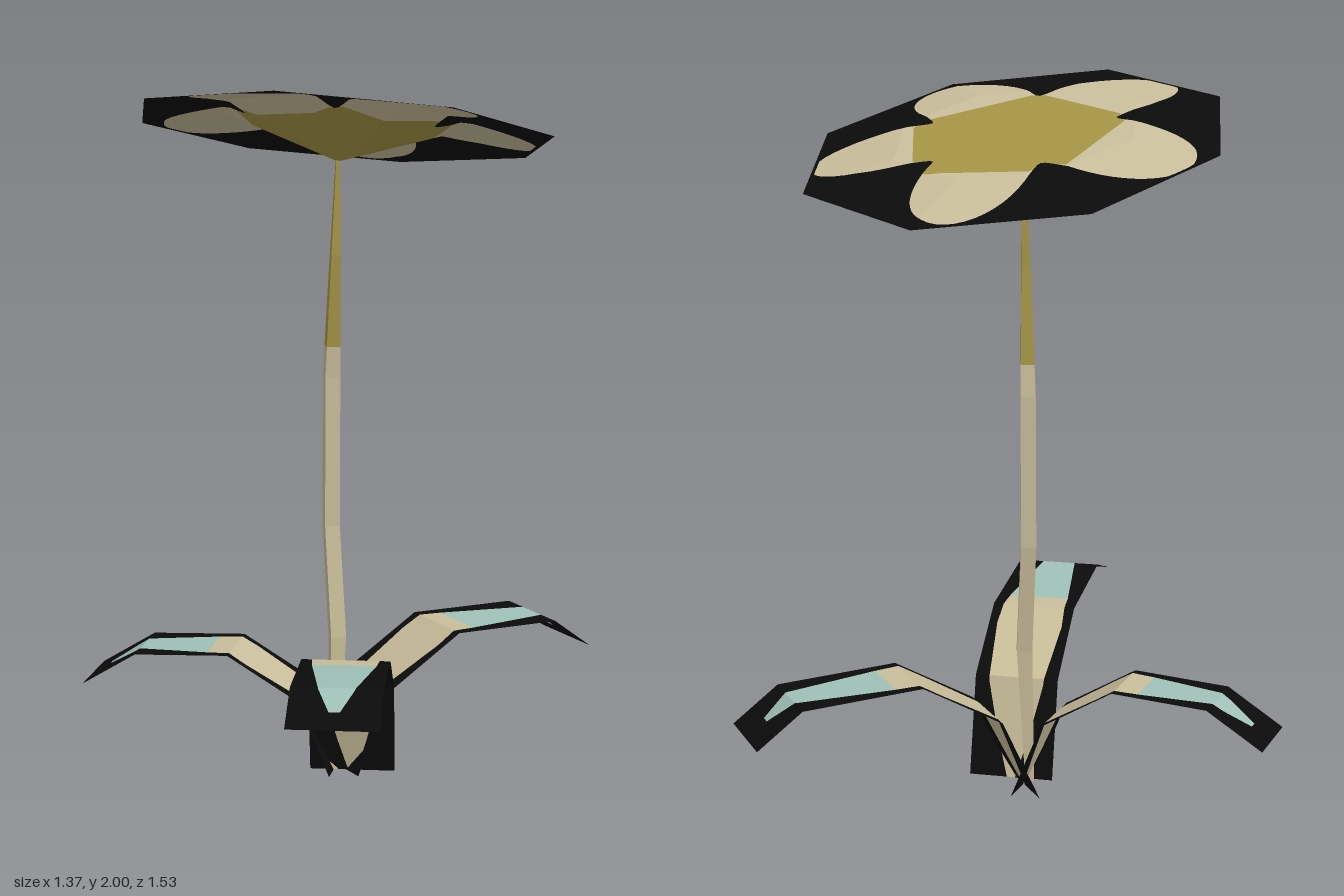
import * as THREE from 'three';

const V = (x, y, z) => new THREE.Vector3(x, y, z);
const rad = THREE.MathUtils.degToRad;

// Collects flat faces by colour and turns them into one named mesh per colour
class Builder {
  constructor(name, materials) {
    this.group = new THREE.Group();
    this.group.name = name;
    this.materials = materials;
    this.faces = {};
  }
  tri(color, a, b, c) {
    const n = b.clone().sub(a).cross(c.clone().sub(a));
    if (n.lengthSq() < 1e-14) return;
    (this.faces[color] ??= []).push(...a, ...b, ...c);
  }
  quad(color, a, b, c, d) {
    this.tri(color, a, b, c);
    this.tri(color, a, c, d);
  }
  finish() {
    for (const [color, points] of Object.entries(this.faces)) {
      const g = new THREE.BufferGeometry();
      g.setAttribute('position', new THREE.Float32BufferAttribute(points, 3));
      g.computeVertexNormals();
      const mesh = new THREE.Mesh(g, this.materials[color]);
      mesh.name = `${this.group.name}_${color}`;
      this.group.add(mesh);
    }
    return this.group;
  }
}

// Distance from the centre to a polygon given as [degrees, radius] corners
function polygonRadius(corners, deg) {
  for (let i = 0; i < corners.length; i++) {
    const [a0, r0] = corners[i];
    let [a1, r1] = corners[(i + 1) % corners.length];
    if (a1 <= a0) a1 += 360;
    const d = (((deg - a0) % 360) + 360) % 360;
    if (d > a1 - a0) continue;
    const whole = rad(a1 - a0), t = rad(d);
    return (r0 * r1 * Math.sin(whole)) / (r0 * Math.sin(t) + r1 * Math.sin(whole - t));
  }
  return 0;
}

// Flower head: slightly raised tilted octagon above a funnel
function makeFlower(materials) {
  const b = new Builder('flower', materials);
  const cx = 0.06, cz = -0.09;
  const apex = V(0.055, 1.76, -0.06);
  const octagon = Array.from({ length: 8 }, (_, i) => [i * 45, 0.593]);
  const heart = [[-134.4, 0.35], [-67, 0.358], [2.6, 0.325], [76, 0.289], [151, 0.309]];
  const notches = [-130.4, -61.6, 5, 76.7, 150.5, 229.6];

  const petalRadius = (deg) => {
    if (deg < notches[0]) deg += 360;
    if (deg > notches[5]) deg -= 360;
    let k = 0;
    while (k < 4 && deg > notches[k + 1]) k++;
    const u = (2 * (deg - notches[k])) / (notches[k + 1] - notches[k]) - 1;
    return 0.27 + 0.285 * Math.pow(Math.max(0, 1 - u * u), 1.7);
  };

  // Colour borders along one ray, with the crease between rim and funnel
  const ray = (deg) => {
    const rim = polygonRadius(octagon, deg), crease = rim * 0.583;
    const petal = Math.min(petalRadius(deg), rim - 0.01);
    const yellow = Math.min(polygonRadius(heart, deg), petal);
    const point = (r, top) => {
      const at = (q, lift) => {
        const z = cz + q * Math.sin(rad(deg));
        return V(cx + q * Math.cos(rad(deg)), 1.845 + 0.26 * (z - cz) + lift, z);
      };
      if (r >= crease) return at(r, (0.035 * (rim - r)) / (rim - crease));
      return top ? at(r, 0.035) : apex.clone().lerp(at(crease, 0.035), r / crease);
    };
    const mid = (lo, hi) => THREE.MathUtils.clamp(crease, lo, hi);
    return {
      radii: [0, mid(0, yellow), yellow, mid(yellow, petal), petal, mid(petal, rim), rim],
      point,
    };
  };

  const colors = ['yellow', 'yellow', 'cream', 'cream', 'black', 'black'];
  const steps = 144;
  for (let i = 0; i < steps; i++) {
    const p = ray((i * 360) / steps), q = ray(((i + 1) * 360) / steps);
    colors.forEach((color, j) => {
      for (const top of [true, false]) {
        const a0 = p.point(p.radii[j], top), b0 = p.point(p.radii[j + 1], top);
        const a1 = q.point(q.radii[j], top), b1 = q.point(q.radii[j + 1], top);
        if (top) b.quad(color, a0, a1, b1, b0);
        else b.quad(color, a0, b0, b1, a1);
      }
    });
  }
  return b.finish();
}

// Stem: four-sided bent tube given as x, y, z, radius
function makeStem(materials) {
  const b = new Builder('stem', materials);
  const rings = [
    [0.05, 0, -0.04, 0.018], [0.058, 0.4, -0.055, 0.031], [0.03, 0.72, -0.083, 0.03],
    [0.03, 1.15, -0.085, 0.03], [0.034, 1.24, -0.079, 0.027],
    [0.047, 1.5, -0.061, 0.018], [0.055, 1.78, -0.06, 0.007],
  ];
  const corner = ([x, y, z, r], k) =>
    V(x + r * Math.cos(k * Math.PI / 2 + 0.3), y, z + r * Math.sin(k * Math.PI / 2 + 0.3));
  for (let i = 0; i < rings.length - 1; i++)
    for (let k = 0; k < 4; k++)
      b.quad(i < 4 ? 'cream' : 'yellow', corner(rings[i], k), corner(rings[i + 1], k),
        corner(rings[i + 1], k + 1), corner(rings[i], k + 1));
  return b.finish();
}

// Leaf: bent strip along [distance, height] joints with a coloured middle
function makeLeaf(name, materials, { base, dir, width, joints }) {
  const b = new Builder(name, materials);
  const along = V(dir[0], 0, dir[1]).normalize();
  const side = V(-along.z, 0, along.x).multiplyScalar(width / 2);
  const spine = joints.map(([d, y]) => V(base[0], y, base[1]).addScaledVector(along, d));
  const lengths = [0];
  for (let i = 1; i < spine.length; i++) lengths.push(lengths[i - 1] + spine[i].distanceTo(spine[i - 1]));
  const marks = lengths.map((l) => l / lengths.at(-1));
  const middle = [[0, 0.1], [0.1, 0.35], [0.25, 0.65], [0.45, 0.8], [0.58, 0.72], [0.84, 0.4], [0.93, 0.12], [1, 0.1]];

  const spineAt = (s) => {
    let i = 0;
    while (i < marks.length - 2 && s > marks[i + 1]) i++;
    return spine[i].clone().lerp(spine[i + 1], (s - marks[i]) / (marks[i + 1] - marks[i]));
  };
  const middleAt = (s) => {
    let i = 0;
    while (i < middle.length - 2 && s > middle[i + 1][0]) i++;
    const [s0, w0] = middle[i], [s1, w1] = middle[i + 1];
    return w0 + ((w1 - w0) * (s - s0)) / (s1 - s0);
  };
  const row = (s) => {
    const w = middleAt(s);
    return [-1, -w, w, 1].map((k) => spineAt(s).addScaledVector(side, k));
  };

  const stations = [...new Set([...marks, ...middle.map((m) => m[0])])].sort((p, q) => p - q);
  for (let i = 0; i < stations.length - 1; i++) {
    const p = row(stations[i]), q = row(stations[i + 1]);
    const s = (stations[i] + stations[i + 1]) / 2;
    const inner = s < 0.58 ? 'cream' : s < 0.93 ? 'teal' : 'black';
    ['black', inner, 'black'].forEach((color, k) => b.quad(color, p[k], p[k + 1], q[k + 1], q[k]));
  }
  return b.finish();
}

export function createModel() {
  const materials = {};
  const palette = { black: 0x0b0b0b, cream: 0xc8bd9a, yellow: 0xa59445, teal: 0x9fc0b7 };
  for (const [name, color] of Object.entries(palette)) {
    materials[name] = new THREE.MeshStandardMaterial({ color, side: THREE.DoubleSide });
    materials[name].name = name;
  }

  const model = new THREE.Group();
  model.name = 'flowerPlant';
  model.add(makeFlower(materials), makeStem(materials));
  model.add(makeLeaf('frontLeaf', materials, {
    base: [0.108, -0.045], dir: [0.225, 0.974], width: 0.245,
    joints: [[0, 0], [0.075, 0.28], [0.295, 0.43], [0.635, 0.467], [0.803, 0.41]],
  }));
  model.add(makeLeaf('rightLeaf', materials, {
    base: [0.052, -0.07], dir: [-0.995, 0.095], width: 0.212,
    joints: [[0, 0], [0.09, 0.22], [0.3, 0.345], [0.575, 0.33], [0.735, 0.23]],
  }));
  model.add(makeLeaf('backLeaf', materials, {
    base: [0.05, -0.077], dir: [0.664, -0.747], width: 0.24,
    joints: [[0, 0], [0.11, 0.24], [0.345, 0.375], [0.69, 0.357], [0.82, 0.26]],
  }));
  return model;
}
